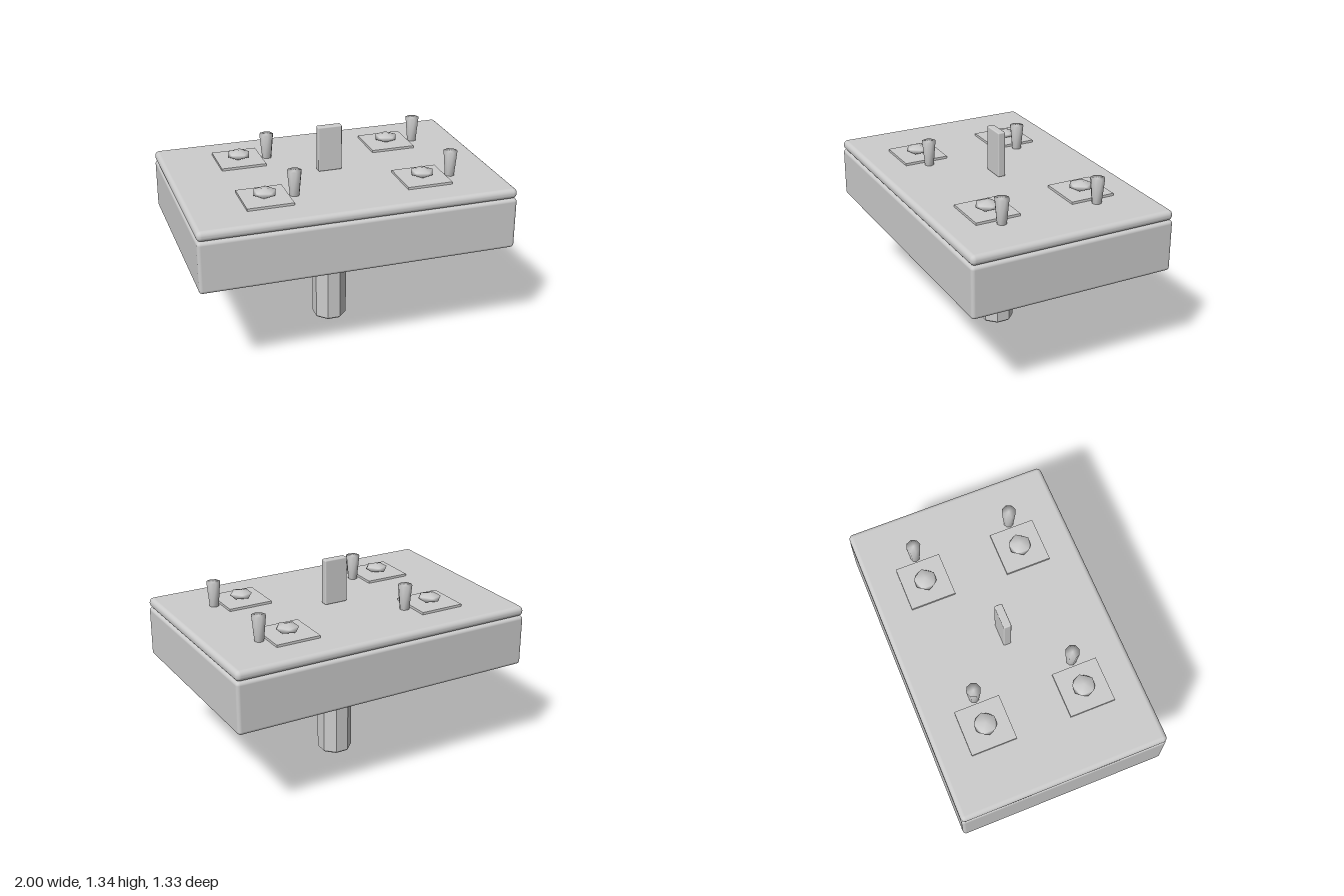
import * as THREE from 'three';
import { mergeVertices } from 'three/addons/utils/BufferGeometryUtils.js';
import { RoundedBoxGeometry } from 'three/addons/geometries/RoundedBoxGeometry.js';

const grey = new THREE.MeshStandardMaterial({ color: 0xcccccc });
grey.name = 'plainGrey';

function add(parent, name, geometry, x, y, z) {
  const mesh = new THREE.Mesh(geometry, grey);
  mesh.name = name;
  mesh.position.set(x, y, z);
  parent.add(mesh);
  return mesh;
}

// Octagonal post with bevelled ends and flat sides
function postGeometry(radius, height, bevel) {
  const profile = [
    [0, 0], [radius - bevel, 0], [radius, bevel],
    [radius, height - bevel], [radius - bevel, height], [0, height],
  ].map(([x, y]) => new THREE.Vector2(x, y));
  const geometry = new THREE.LatheGeometry(profile, 8, Math.PI / 8).toNonIndexed();
  geometry.computeVertexNormals();
  return geometry;
}

// Flattened smooth bun: two twisted rings of five points between two poles
function bunGeometry(ringRadius, halfHeight) {
  const points = [0, -halfHeight, 0];
  for (let ring = 0; ring < 2; ring++) {
    for (let i = 0; i < 5; i++) {
      const a = ((i + (ring ? 0 : 0.5)) * Math.PI * 2) / 5;
      const y = (ring ? 0.447 : -0.447) * halfHeight;
      points.push(Math.cos(a) * ringRadius, y, -Math.sin(a) * ringRadius);
    }
  }
  points.push(0, halfHeight, 0);
  const faces = [];
  for (let i = 0; i < 5; i++) {
    const n = (i + 1) % 5;
    const low = 1 + i, lowNext = 1 + n, up = 6 + i, upNext = 6 + n;
    faces.push(0, lowNext, low, low, upNext, up, low, lowNext, upNext, up, upNext, 11);
  }
  const geometry = new THREE.BufferGeometry();
  geometry.setAttribute('position', new THREE.Float32BufferAttribute(points, 3));
  geometry.setIndex(faces);
  geometry.computeVertexNormals();
  return geometry;
}

// Eight-sided tapered cup, smoothly shaded over its rim
function cupGeometry(top, bottom, height) {
  let geometry = new THREE.CylinderGeometry(top, bottom, height, 8);
  geometry.deleteAttribute('normal');
  geometry.deleteAttribute('uv');
  geometry = mergeVertices(geometry);
  geometry.computeVertexNormals();
  return geometry;
}

export function createModel() {
  const model = new THREE.Group();
  model.name = 'table';

  // Table body
  add(model, 'pedestal', postGeometry(0.112, 0.65, 0.01), 0, 0, 0);
  add(model, 'tableBody', new RoundedBoxGeometry(2, 0.332, 1.33, 3, 0.022), 0, 0.81, 0);
  add(model, 'tableTop', new RoundedBoxGeometry(2, 0.065, 1.33, 3, 0.03), 0, 1.008, 0);

  // Upright card in the middle
  add(model, 'standingCard', new RoundedBoxGeometry(0.156, 0.295, 0.05, 2, 0.008), 0, 1.188, 0);

  // Four place settings
  const plate = new THREE.BoxGeometry(0.29, 0.016, 0.29);
  const bun = bunGeometry(0.07, 0.028);
  const cup = cupGeometry(0.046, 0.03, 0.165);
  for (const x of [-0.51, 0.503]) {
    for (const z of [-0.32, 0.32]) {
      const setting = new THREE.Group();
      setting.name = 'placeSetting';
      setting.position.set(x, 1.04, z);
      add(setting, 'plate', plate, 0, 0.008, 0);
      add(setting, 'bun', bun, 0, 0.043, 0);
      add(setting, 'cup', cup, 0.187, 0.078, 0);
      model.add(setting);
    }
  }
  return model;
}
